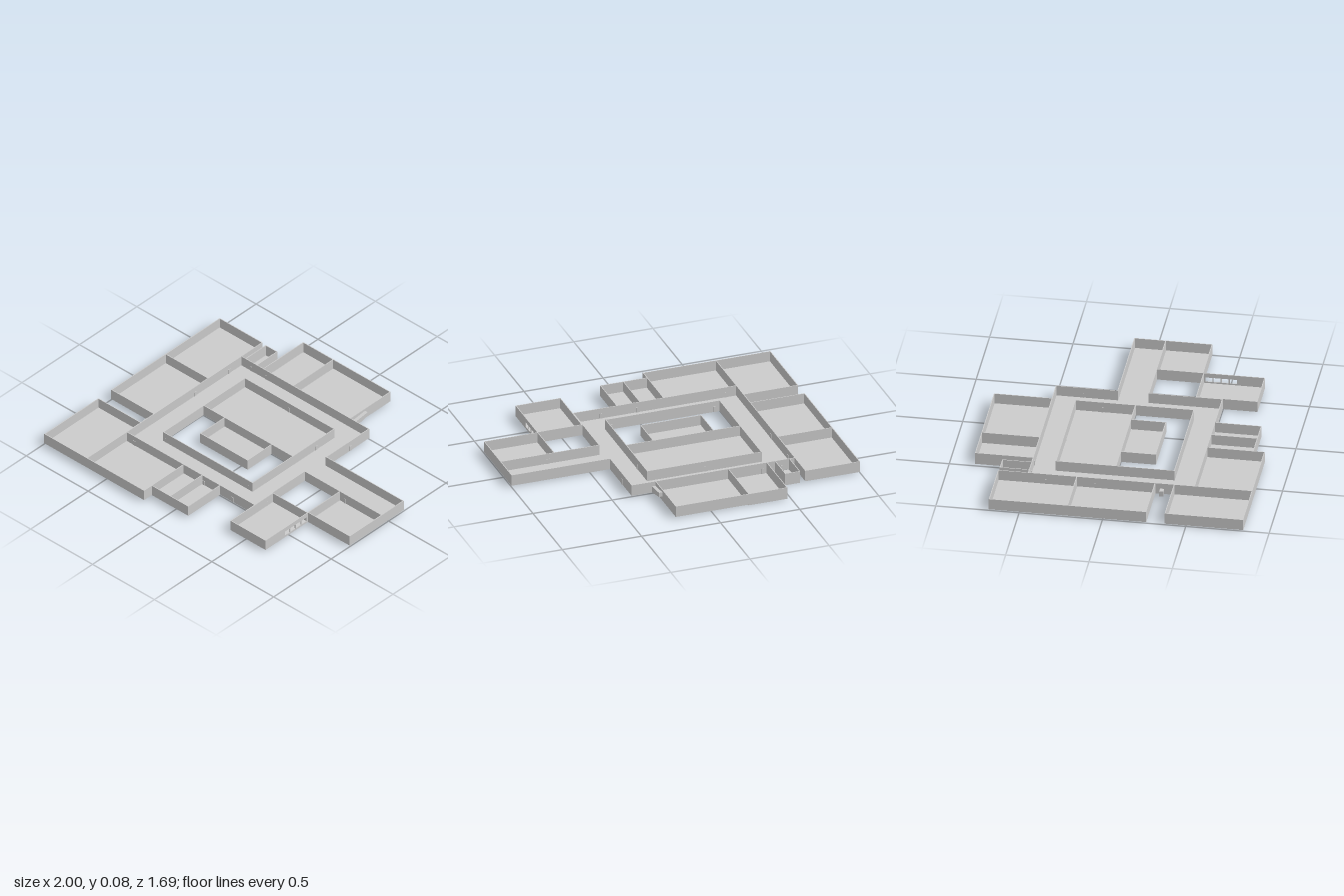
import * as THREE from 'three';

const T = 0.005;      // wall thickness
const BASE = 0.007;   // underside of the main floor
const TOP = 0.076;    // top of the walls
const mat = new THREE.MeshStandardMaterial({ color: 0xcccccc, flatShading: true, side: THREE.DoubleSide });

function box(parent, name, x0, x1, y0, y1, z0, z1) {
  const mesh = new THREE.Mesh(new THREE.BoxGeometry(x1 - x0, y1 - y0, z1 - z0), mat);
  mesh.position.set((x0 + x1) / 2, (y0 + y1) / 2, (z0 + z1) / 2);
  mesh.name = name;
  parent.add(mesh);
  return mesh;
}

// Wall along x at a fixed z, or along z at a fixed x
const wallX = (g, z, x0, x1, y0 = BASE) => box(g, 'wall', x0 - T / 2, x1 + T / 2, y0, TOP, z - T / 2, z + T / 2);
const wallZ = (g, x, z0, z1, y0 = BASE) => box(g, 'wall', x - T / 2, x + T / 2, y0, TOP, z0 + T / 2, z1 - T / 2);

// Rooms: name, x0, x1, z0, z1, walled sides (n = back, s = front, w = -x, e = +x), floor height
const rooms = [
  ['backCornerRoom', -0.997, -0.655, -0.68, -0.21, 'nwes', BASE],
  ['sideRoom', -0.997, -0.655, -0.21, 0.26, 'wes', BASE],
  ['alcove', -0.62, -0.53, -0.675, -0.5, 'nwe', 0],
  ['backSmallRoom', -0.477, -0.235, -0.847, -0.5, 'nwe', 0.002],
  ['backHall', -0.235, 0.225, -0.847, -0.5, 'ne', BASE],
  ['centralHall', -0.495, 0.225, -0.36, 0, 'nwes', BASE],
  ['courtyardRoom', -0.325, 0.055, 0, 0.21, 'wes', BASE],
  ['eastCorridor', 0.375, 0.997, -0.13, 0.057, 'nes', BASE],
  ['eastRoom', 0.66, 0.997, 0.057, 0.335, 'wes', BASE],
  ['windowRoom', 0.38, 0.66, 0.34, 0.705, 'nws', BASE],
  ['frontCornerRoom', -0.997, -0.655, 0.375, 0.842, 'nwes', BASE],
  ['frontHall', -0.655, -0.195, 0.497, 0.842, 'es', BASE],
  ['frontSmallRoomA', -0.195, -0.045, 0.497, 0.775, 'es', BASE],
  ['frontSmallRoomB', -0.045, 0.1, 0.497, 0.775, 'es', BASE],
];

function addRoom(root, [name, x0, x1, z0, z1, sides, y]) {
  const g = new THREE.Group();
  g.name = name;
  box(g, 'floor', x0, x1, y, y + 0.004, z0, z1);
  if (sides.includes('n')) wallX(g, z0, x0, x1, y);
  if (sides.includes('s')) wallX(g, z1, x0, x1, y);
  if (sides.includes('w')) wallZ(g, x0, z0, z1, y);
  if (sides.includes('e')) wallZ(g, x1, z0, z1, y);
  root.add(g);
}

// Corridor around the central hall and the open courtyard
function addRingCorridor(root) {
  const g = new THREE.Group();
  g.name = 'ringCorridor';
  const [x0, x1, z0, z1] = [-0.655, 0.375, -0.5, 0.497];
  const [a0, a1, b0, b1] = [-0.495, 0.225, -0.36, 0.35];
  box(g, 'floor', x0, x1, BASE, BASE + 0.004, z0, b0);
  box(g, 'floor', x0, x1, BASE, BASE + 0.004, b1, z1);
  box(g, 'floor', x0, a0, BASE, BASE + 0.004, b0, b1);
  box(g, 'floor', a1, x1, BASE, BASE + 0.004, b0, b1);
  wallX(g, z0, x0, x1);
  wallX(g, z1, x0, x1);
  wallZ(g, x0, 0.26, 0.375);
  wallZ(g, x1, z0, -0.13);
  wallZ(g, x1, 0.057, z1);
  wallX(g, b1, a0, a1);
  wallZ(g, a0, 0, b1);
  wallZ(g, a1, 0, b1);
  root.add(g);
}

// Wall with a row of window openings
function addWindowWall(root) {
  const shape = new THREE.Shape();
  const rect = (p, z0, z1, y0, y1) => {
    p.moveTo(z0, y0);
    p.lineTo(z1, y0);
    p.lineTo(z1, y1);
    p.lineTo(z0, y1);
    p.closePath();
    return p;
  };
  rect(shape, 0.34, 0.705, BASE, TOP);
  for (let i = 0; i < 4; i++) {
    const z = 0.35 + i * 0.049;
    shape.holes.push(rect(new THREE.Path(), z, z + 0.042, 0.02, 0.048));
  }
  const geo = new THREE.ExtrudeGeometry(shape, { depth: T, bevelEnabled: false });
  geo.rotateY(-Math.PI / 2);
  const mesh = new THREE.Mesh(geo, mat);
  mesh.position.x = 0.66 + T / 2;
  mesh.name = 'windowWall';
  root.add(mesh);
}

// Doors: x, z, and whether the door lies in a wall running along x
const doors = [
  [-0.59, 0.497, 1], [-0.03, 0.497, 1], [0.2, 0.497, 1], [-0.14, -0.36, 1], [-0.57, -0.5, 1],
  [-0.45, -0.5, 1], [0.19, 0.348, 1], [-0.465, 0.348, 1], [0.7, 0.057, 1], [0.225, -0.2, 0],
  [-0.655, -0.095, 0], [-0.655, -0.39, 0], [0.378, 0.39, 0], [0.375, -0.34, 0],
];

function addDoors(root) {
  const g = new THREE.Group();
  g.name = 'doors';
  for (const [x, z, alongX] of doors) {
    const w = alongX ? 0.009 : 0.005, d = alongX ? 0.005 : 0.009;
    box(g, 'door', x - w, x + w, BASE, 0.042, z - d, z + d);
  }
  // Small side entry
  box(g, 'sideEntry', -0.69, -0.655, BASE, 0.042, 0.29, 0.315);
  root.add(g);
}

// Sloping ramp at the back, sheared from a box
function addRamp(root) {
  const shape = new THREE.Shape([
    new THREE.Vector2(-0.5, 0.008), new THREE.Vector2(-0.625, 0.036),
    new THREE.Vector2(-0.625, 0.063), new THREE.Vector2(-0.5, 0.048),
  ]);
  const geo = new THREE.ExtrudeGeometry(shape, { depth: 0.022, bevelEnabled: false });
  geo.rotateY(-Math.PI / 2);
  const mesh = new THREE.Mesh(geo, mat);
  mesh.position.x = 0.25;
  mesh.name = 'ramp';
  root.add(mesh);
}

export function createModel() {
  const root = new THREE.Group();
  root.name = 'buildingFloor';
  rooms.forEach((r) => addRoom(root, r));
  addRingCorridor(root);
  addWindowWall(root);
  addDoors(root);
  addRamp(root);
  return root;
}
